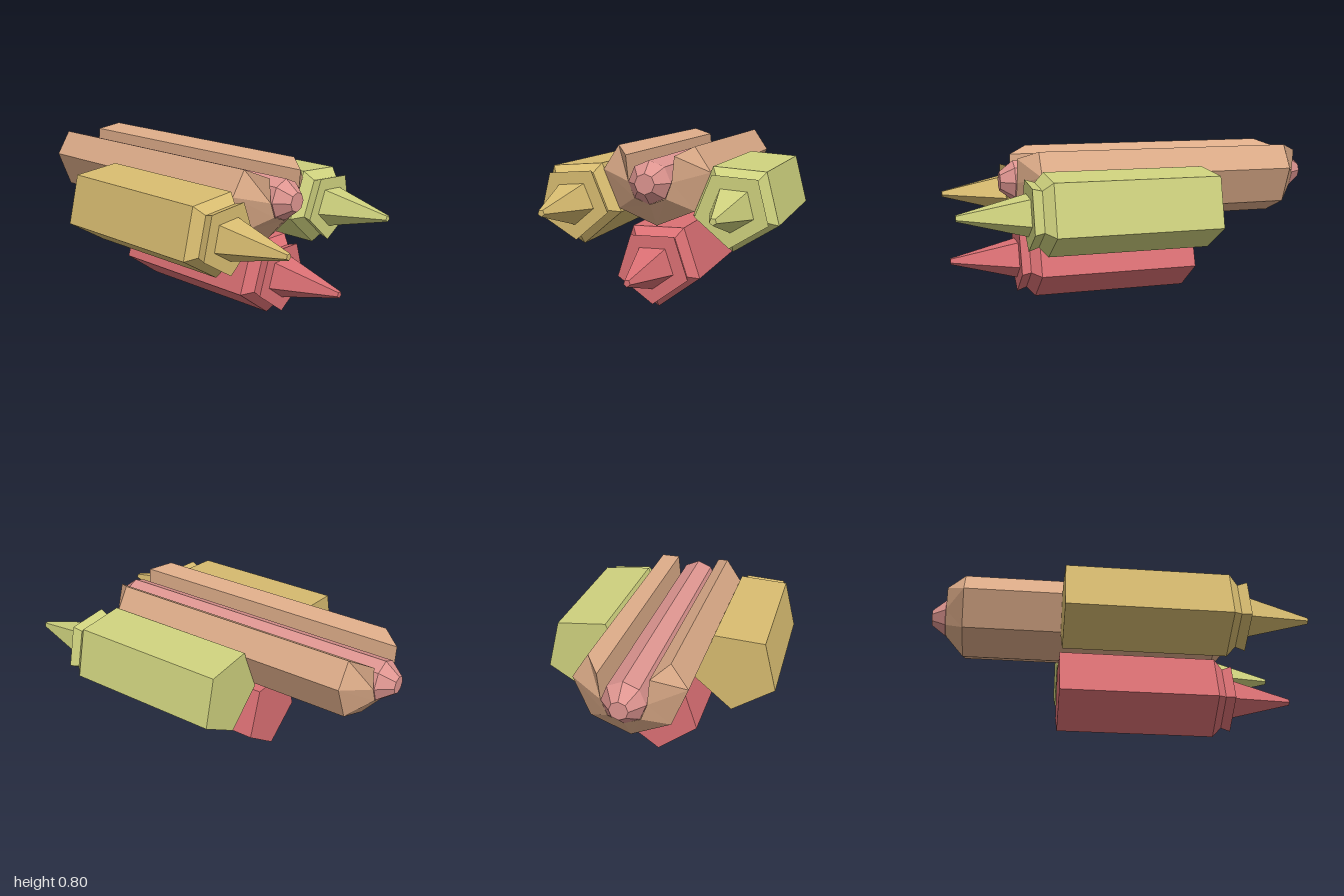
import * as THREE from 'three';

const material = (name, color) => {
  const m = new THREE.MeshStandardMaterial({ color, flatShading: true });
  m.name = name;
  return m;
};

// Faceted solid turned around the x axis from [x, radius] pairs.
function turned(name, profile, sides, spin, mat) {
  const points = profile.map(([x, r]) => new THREE.Vector2(r, x));
  const geometry = new THREE.LatheGeometry(points, sides, Math.PI / 2 + spin);
  geometry.rotateZ(-Math.PI / 2);
  const mesh = new THREE.Mesh(geometry, mat);
  mesh.name = name;
  return mesh;
}

// U-shaped bun: the outer shell tapers to the longer inner groove at both ends.
function bunGeometry() {
  const mirror = half => [...half, ...half.slice(0, -1).reverse().map(([z, y]) => [-z, y])];
  const outer = mirror([[0.195, 0.803], [0.276, 0.68], [0.195, 0.488], [0, 0.408]]);
  const inner = mirror([[0.122, 0.763], [0.109, 0.636], [0.078, 0.557], [0, 0.527]]);
  const at = (x, [z, y]) => [x, y, z];
  const positions = [];
  const quad = (a, b, c, d) => positions.push(...a, ...b, ...c, ...a, ...c, ...d);

  // Long faces all round the section
  const loop = [
    ...outer.map(p => ({ p, x0: -0.82, x1: 0.555 })),
    ...inner.slice().reverse().map(p => ({ p, x0: -0.92, x1: 0.655 })),
  ];
  loop.forEach((s, i) => {
    const t = loop[(i + 1) % loop.length];
    quad(at(s.x0, s.p), at(t.x0, t.p), at(t.x1, t.p), at(s.x1, s.p));
  });

  // Sloping ends
  for (let i = 0; i < outer.length - 1; i++) {
    quad(at(0.555, outer[i]), at(0.555, outer[i + 1]), at(0.655, inner[i + 1]), at(0.655, inner[i]));
    quad(at(-0.92, inner[i]), at(-0.92, inner[i + 1]), at(-0.82, outer[i + 1]), at(-0.82, outer[i]));
  }
  const geometry = new THREE.BufferGeometry();
  geometry.setAttribute('position', new THREE.Float32BufferAttribute(positions, 3));
  geometry.computeVertexNormals();
  return geometry;
}

// Five-sided bottle: body with bevelled shoulder, flared collar, long nozzle.
function bottle(name, y, z, spin, mat) {
  const group = new THREE.Group();
  group.name = name;
  group.add(
    turned('body', [[-0.295, 0], [-0.295, 0.223], [0.553, 0.223], [0.602, 0.17], [0.602, 0]], 5, spin, mat),
    turned('collar', [[0.602, 0], [0.602, 0.17], [0.652, 0.188], [0.652, 0]], 5, spin, mat),
    turned('nozzle', [[0.652, 0], [0.652, 0.112], [1, 0.017], [1, 0]], 5, spin, mat),
  );
  group.position.set(0, y, z);
  return group;
}

export function createModel() {
  const model = new THREE.Group();
  model.name = 'hotDogWithSauces';

  const bun = new THREE.Mesh(bunGeometry(), material('bun tan', 0xdcab88));
  bun.name = 'bun';

  const sausage = turned('sausage',
    [[-1, 0], [-1, 0.046], [-0.923, 0.107], [0.66, 0.107], [0.732, 0.05], [0.732, 0]],
    8, 0, material('sausage pink', 0xde9590));
  sausage.position.y = 0.635;

  model.add(
    bun,
    sausage,
    bottle('ketchupBottle', 0.223, -0.008, 0, material('ketchup red', 0xdb7074)),
    bottle('mustardBottle', 0.521, 0.403, 0.075, material('mustard yellow', 0xd8bc70)),
    bottle('relishBottle', 0.521, -0.403, -0.075, material('relish green', 0xcfd27e)),
  );
  return model;
}
